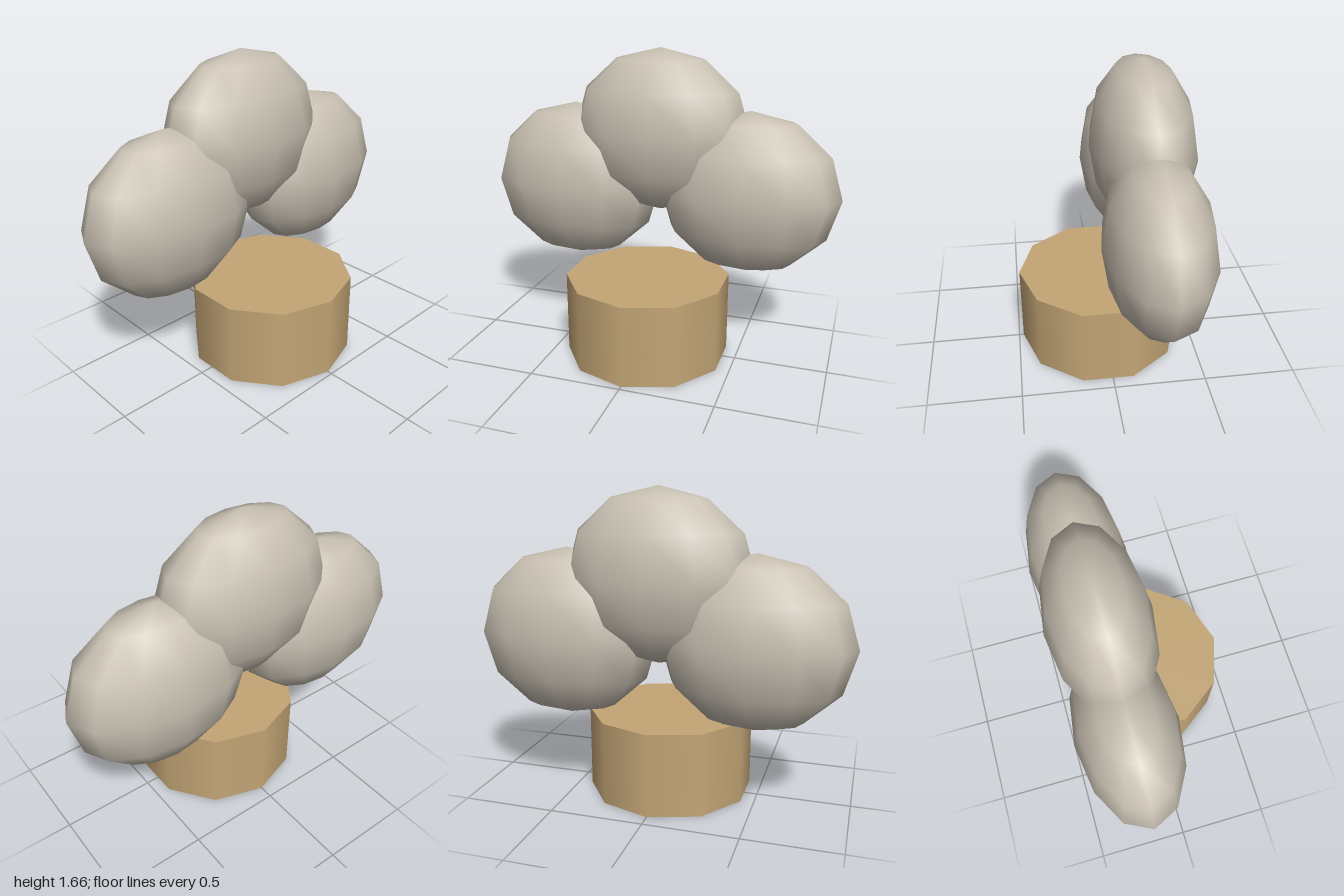
import * as THREE from 'three';

export function createModel() {
  const model = new THREE.Group();
  const stone = new THREE.MeshStandardMaterial({ color: 0xc8c0b2 });
  stone.name = 'pale stone';
  const tan = new THREE.MeshStandardMaterial({ color: 0xc4a676 });
  tan.name = 'tan';

  // Ten-sided drum base
  const base = new THREE.Mesh(new THREE.CylinderGeometry(0.45, 0.45, 0.45, 10), tan);
  base.name = 'base';
  base.position.set(0, 0.225, 0.025);
  model.add(base);

  // Three flattened lobes fanned out behind the base's centre
  const lobeShape = new THREE.SphereGeometry(1, 12, 6).scale(0.5, 0.45, 0.275);
  const lobes = [
    ['leftLobe', 0.5, 0.9],
    ['topLobe', 0, 1.215],
    ['rightLobe', -0.5, 0.9],
  ];
  for (const [name, x, y] of lobes) {
    const lobe = new THREE.Mesh(lobeShape, stone);
    lobe.name = name;
    lobe.position.set(x, y, -0.2);
    model.add(lobe);
  }
  return model;
}
